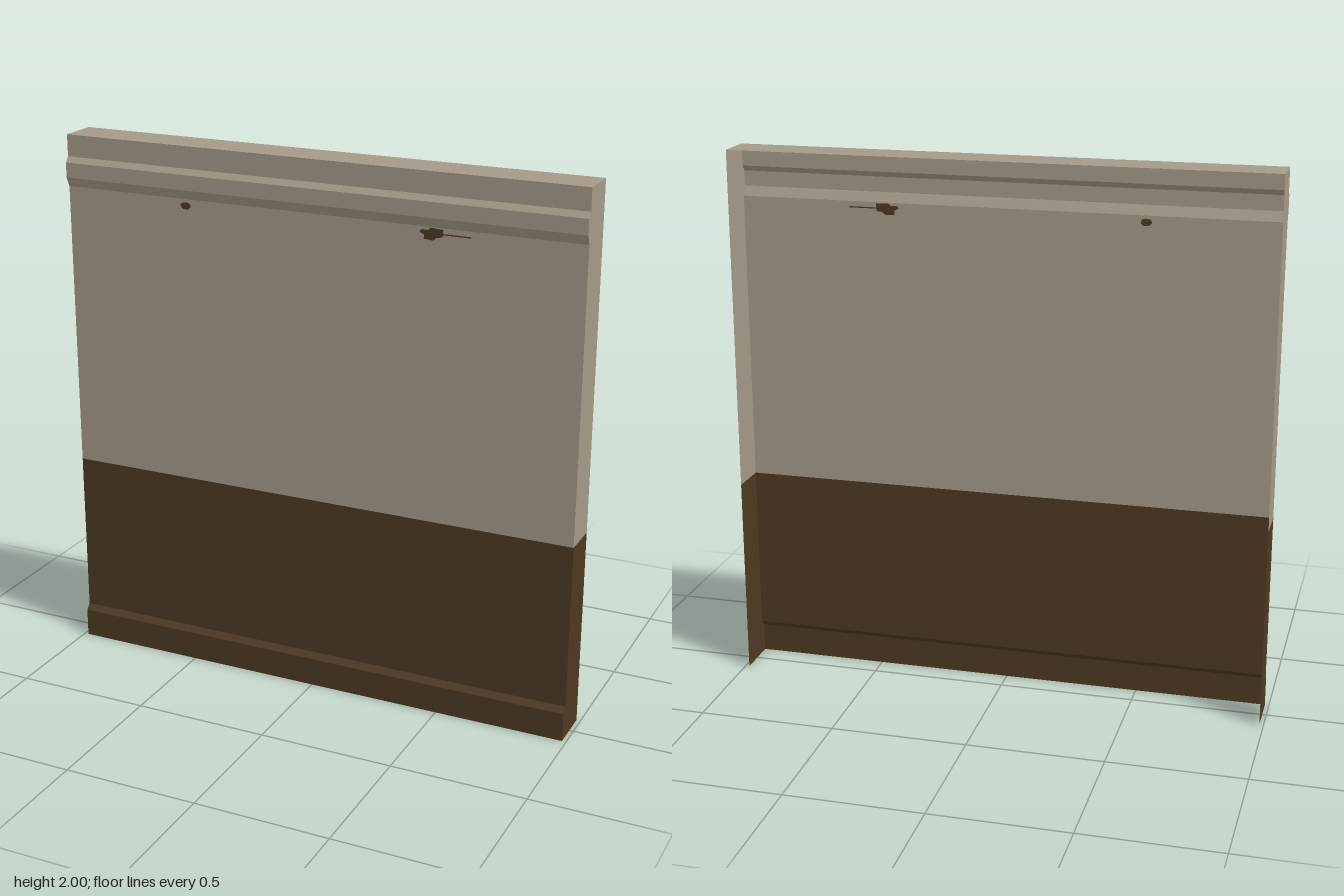
import * as THREE from 'three';

const HALF = 0.985, BACK = -0.083, WALL = 0.064, SPLIT = 0.743;

// Cross-sections as [z, y], listed from bottom to top
const lowerProfile = [[0.083, 0], [0.083, 0.107], [WALL, 0.128], [WALL, SPLIT]];
const upperProfile = [[WALL, SPLIT], [WALL, 1.81], [0.08, 1.845], [0.08, 1.9], [WALL, 1.92], [WALL, 2]];

// Sweeps a cross-section across the width, one flat strip per segment
function sheet(profile) {
  const pos = [];
  for (let i = 0; i < profile.length - 1; i++) {
    const [z0, y0] = profile[i], [z1, y1] = profile[i + 1];
    pos.push(-HALF, y0, z0, HALF, y0, z0, HALF, y1, z1);
    pos.push(-HALF, y0, z0, HALF, y1, z1, -HALF, y1, z1);
  }
  const g = new THREE.BufferGeometry();
  g.setAttribute('position', new THREE.Float32BufferAttribute(pos, 3));
  g.computeVertexNormals();
  return g;
}

// End panel that follows the cross-section back to the open rear edge
function endPanel(profile, side) {
  const bottom = profile[0][1], top = profile[profile.length - 1][1];
  const pts = [[BACK, bottom], ...profile, [BACK, top]].map(([z, y]) => new THREE.Vector2(side < 0 ? z : -z, y));
  if (side > 0) pts.reverse();
  const g = new THREE.ShapeGeometry(new THREE.Shape(pts));
  g.rotateY(side * Math.PI / 2);
  g.translate(side * HALF, 0, 0);
  return g;
}

export function createModel() {
  const group = new THREE.Group();
  const plaster = new THREE.MeshStandardMaterial({ color: 0xa59a88, side: THREE.DoubleSide });
  plaster.name = 'plaster';
  const wood = new THREE.MeshStandardMaterial({ color: 0x4e3922, side: THREE.DoubleSide });
  wood.name = 'darkWood';

  const add = (name, geometry, material) => {
    const mesh = new THREE.Mesh(geometry, material);
    mesh.name = name;
    group.add(mesh);
    return mesh;
  };

  // Wall faces with picture rail and skirting; the back and underside stay open
  add('lowerWall', sheet(lowerProfile), wood);
  add('upperWall', sheet(upperProfile), plaster);
  add('topCap', sheet([[WALL, 2], [BACK, 2]]), plaster);
  for (const [side, label] of [[1, 'left'], [-1, 'right']]) {
    add(label + 'LowerEnd', endPanel(lowerProfile, side), wood);
    add(label + 'UpperEnd', endPanel(upperProfile, side), plaster);
  }

  // Small dark marks under the rail, showing on both faces of the wall
  const mark = (name, points) => {
    const shape = new THREE.Shape(points.map(([x, y]) => new THREE.Vector2(x, y)));
    const g = new THREE.ExtrudeGeometry(shape, { depth: 0.004, bevelEnabled: false });
    add(name, g, wood).position.z = WALL - 0.002;
  };
  mark('smallMark', [[-0.522, 1.786], [-0.512, 1.774], [-0.492, 1.773], [-0.482, 1.782],
    [-0.484, 1.794], [-0.496, 1.799], [-0.515, 1.797]]);
  mark('largeMark', [[0.395, 1.79], [0.412, 1.782], [0.41, 1.768], [0.445, 1.765], [0.455, 1.775],
    [0.478, 1.779], [0.478, 1.787], [0.58, 1.787], [0.58, 1.791], [0.478, 1.791],
    [0.48, 1.805], [0.435, 1.808], [0.425, 1.799], [0.4, 1.8]]);
  return group;
}
